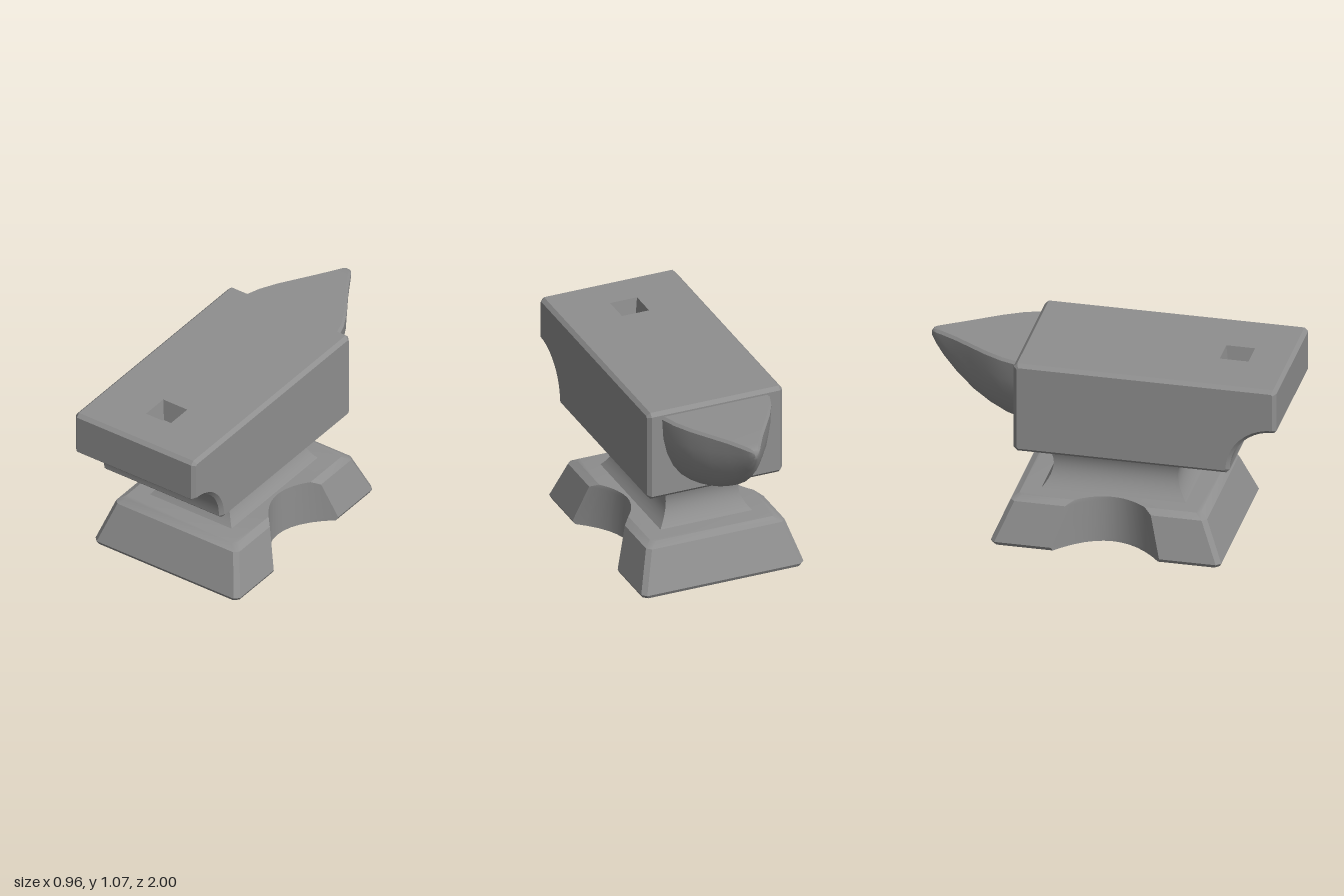
import * as THREE from 'three';
import { toCreasedNormals } from 'three/addons/utils/BufferGeometryUtils.js';

const iron = new THREE.MeshStandardMaterial({ color: 0x8f8f8f, side: THREE.DoubleSide });
iron.name = 'iron grey';

function part(name, geometry, crease = 0.45) {
  const mesh = new THREE.Mesh(toCreasedNormals(geometry, crease), iron);
  mesh.name = name;
  return mesh;
}

// Skins a stack of equal-length loops and closes both ends; flat() projects a point for the caps.
function loft(loops, flat) {
  const n = loops[0].length, last = (loops.length - 1) * n, index = [];
  for (let i = 0; i < loops.length - 1; i++) {
    for (let j = 0; j < n; j++) {
      const a = i * n + j, b = i * n + (j + 1) % n;
      index.push(a, b, b + n, a, b + n, a + n);
    }
  }
  const cap = (loop) => THREE.ShapeUtils.triangulateShape(loop.map(flat), []);
  for (const [a, b, c] of cap(loops[0])) index.push(a, c, b);
  for (const [a, b, c] of cap(loops[loops.length - 1])) index.push(last + a, last + b, last + c);
  const geometry = new THREE.BufferGeometry().setFromPoints(loops.flat());
  geometry.setIndex(index);
  return geometry;
}

// Foot: tapered block with an upright scooped notch in each side
function baseLoop([y, hx, hz]) {
  const zc = 0.07, deep = 0.29, c = 0.025, half = [];
  half.push([hx - c, hz], [hx, hz - c]);
  const w = 0.3 * Math.sqrt((hx - deep) / 0.19);
  for (let i = 0; i <= 12; i++) {
    const t = 1 - i / 6;
    half.push([deep + (hx - deep) * t * t, w * t]);
  }
  half.push([hx, c - hz], [hx - c, -hz]);
  const other = half.map(([x, z]) => [-x, -z]);
  return [...half, ...other].map(([x, z]) => new THREE.Vector3(x, y, zc + z));
}

// Horn: flat top, rounded keel, tapering to the back
function hornLoop([z, w, bottom, top]) {
  const lip = Math.min(0.015, w * 0.4), side = top - lip, loop = [];
  for (let i = 0; i <= 14; i++) {
    const a = Math.PI * i / 14, c = Math.cos(a);
    const x = Math.sign(c) * Math.pow(Math.abs(c), 0.9) * w;
    const y = side - (side - bottom) * Math.pow(Math.max(0, Math.sin(a)), 0.9);
    loop.push(new THREE.Vector3(x, y, z));
  }
  loop.push(new THREE.Vector3(lip - w, top, z), new THREE.Vector3(w - lip, top, z));
  return loop;
}

// Body: side profile extruded across the width, with its flat top left open for the plate
function bodyGeometry() {
  const bevel = 0.02, profile = new THREE.Shape();
  profile.moveTo(-0.46, 0.56);
  profile.lineTo(-0.44, 0.54);
  profile.lineTo(0.72, 0.54);
  profile.lineTo(0.74, 0.56);
  for (let i = 0; i <= 10; i++) {
    const a = Math.PI - (Math.PI / 2) * i / 10;
    profile.lineTo(0.985 + 0.245 * Math.cos(a), 0.565 + 0.245 * Math.sin(a));
  }
  profile.lineTo(1, 0.825);
  profile.lineTo(1, 1.05);
  profile.lineTo(0.98, 1.07);
  profile.lineTo(-0.44, 1.07);
  profile.lineTo(-0.46, 1.05);
  const full = new THREE.ExtrudeGeometry(profile, {
    depth: 0.76, bevelEnabled: true, bevelSegments: 1,
    bevelThickness: bevel, bevelSize: bevel, bevelOffset: -bevel,
  });
  full.translate(0, 0, -0.38);
  full.rotateY(-Math.PI / 2);
  const p = full.attributes.position, points = [];
  for (let i = 0; i < p.count; i += 3) {
    const tri = [0, 1, 2].map((k) => new THREE.Vector3().fromBufferAttribute(p, i + k));
    if (!tri.every((v) => v.y > 1.0699)) points.push(...tri);
  }
  return new THREE.BufferGeometry().setFromPoints(points);
}

// Top plate: flat working face with a square opening
function faceGeometry(hole, holeZ) {
  const rect = (target, x0, z0, x1, z1) => {
    target.moveTo(x0, -z0);
    target.lineTo(x1, -z0);
    target.lineTo(x1, -z1);
    target.lineTo(x0, -z1);
    target.closePath();
    return target;
  };
  const shape = rect(new THREE.Shape(), -0.38, -0.44, 0.38, 0.98);
  shape.holes.push(rect(new THREE.Path(), -hole, holeZ - hole, hole, holeZ + hole));
  return new THREE.ShapeGeometry(shape).rotateX(-Math.PI / 2).translate(0, 1.07, 0);
}

// Waist: box pinched inwards halfway up
function waistGeometry() {
  const geometry = new THREE.BoxGeometry(2, 0.28, 2, 1, 12, 1);
  const p = geometry.attributes.position;
  for (let i = 0; i < p.count; i++) {
    const t = p.getY(i) / 0.14, pinch = 0.06 * (1 - t * t);
    p.setX(i, p.getX(i) * (0.275 - pinch));
    p.setZ(i, p.getZ(i) * (0.405 - pinch));
  }
  return geometry.translate(0, 0.405, 0.07);
}

export function createModel() {
  const model = new THREE.Group();
  model.name = 'anvil';

  const base = [[0, 0.47, 0.63], [0.02, 0.48, 0.64], [0.245, 0.41, 0.545], [0.27, 0.37, 0.505]];
  model.add(part('base', loft(base.map(baseLoop), (v) => new THREE.Vector2(v.x, -v.z))));
  model.add(part('waist', waistGeometry()));
  model.add(part('body', bodyGeometry()));

  // Square pit sunk into the working face
  const hole = 0.08, floor = 0.063, depth = 0.12, holeZ = 0.695;
  model.add(part('workingFace', faceGeometry(hole, holeZ)));
  const walls = new THREE.CylinderGeometry(hole * Math.SQRT2, floor * Math.SQRT2, depth, 4, 1, true);
  walls.rotateY(Math.PI / 4).translate(0, 1.07 - depth / 2, holeZ);
  model.add(part('holeWalls', walls));
  const bottom = new THREE.PlaneGeometry(floor * 2, floor * 2).rotateX(-Math.PI / 2);
  model.add(part('holeFloor', bottom.translate(0, 1.07 - depth, holeZ)));

  const horn = [
    [-0.45, 0.322, 0.575, 1.04], [-0.55, 0.288, 0.6, 1.04], [-0.65, 0.235, 0.642, 1.04],
    [-0.75, 0.17, 0.7, 1.04], [-0.85, 0.105, 0.785, 1.04], [-0.93, 0.058, 0.875, 1.038],
    [-0.97, 0.036, 0.935, 1.036], [-0.99, 0.022, 0.97, 1.03], [-1, 0.008, 0.99, 1.015],
  ];
  model.add(part('horn', loft(horn.map(hornLoop), (v) => new THREE.Vector2(-v.x, v.y)), 0.6));
  return model;
}
